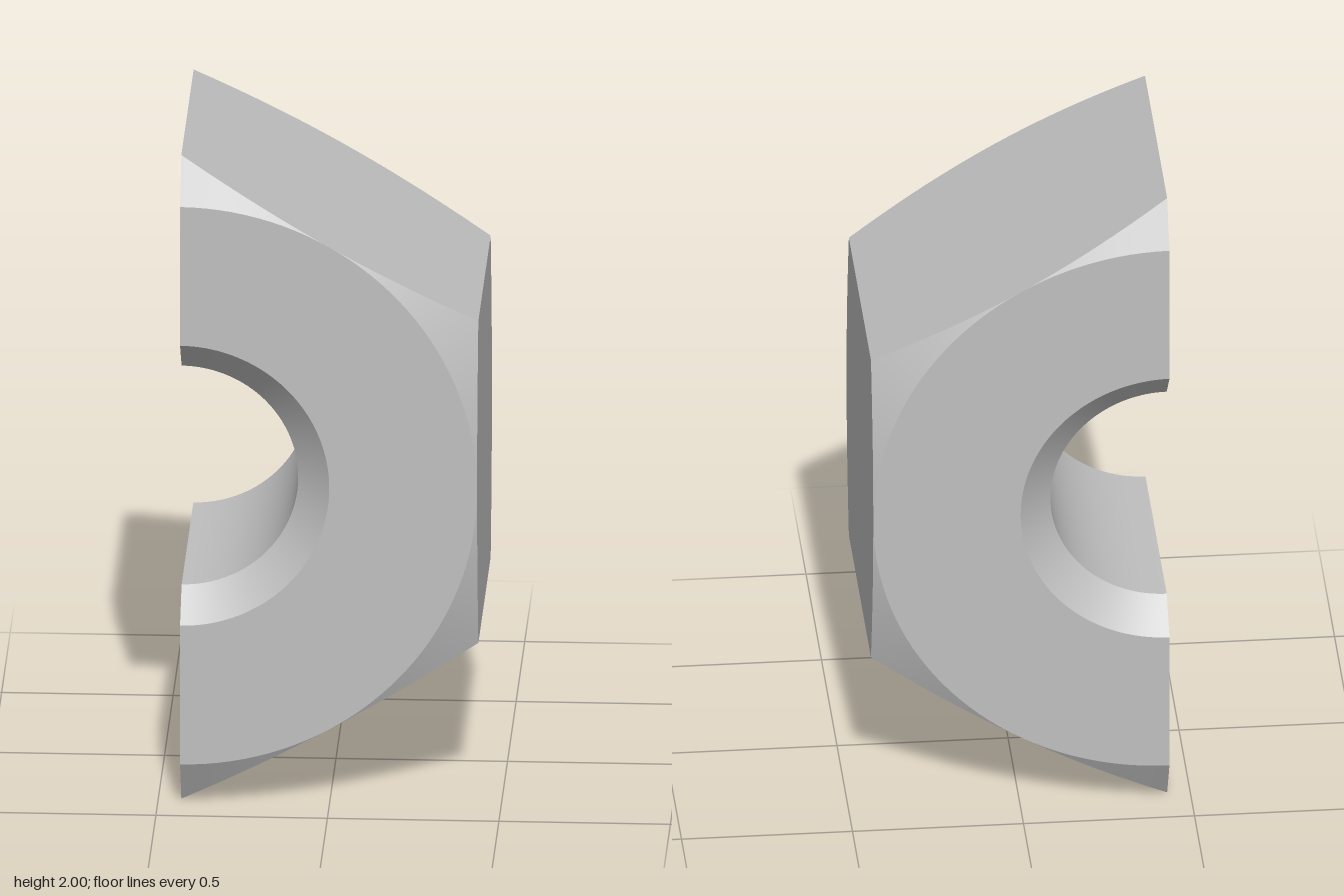
import * as THREE from 'three';

const APOTHEM = 0.866;       // centre to flat
const HALF = 0.432;          // half thickness
const BORE = 0.34;
const MOUTH = 0.435;         // countersink radius at the faces
const SINK = 0.09;           // countersink depth
const SLOPE = 0.56;          // drop of the outer chamfer cone per unit radius
const STEPS = 24;            // divisions per hexagon side

// Distance from the axis to the hexagon outline at an angle (corners at 30 + 60k degrees)
function hexRadius(angle) {
  const side = Math.PI / 3;
  const offset = angle - Math.round(angle / side) * side;
  return APOTHEM / Math.cos(offset);
}

// Corner where the chamfer cone meets the hexagon wall; sign picks front or back
function rim(angle, sign) {
  const r = hexRadius(angle);
  return [r, sign * (HALF - (r - APOTHEM) * SLOPE)];
}

// Surface swept between two profile points [radius, z] over an angle range
function sweep(from, to, startDeg, endDeg, steps) {
  const positions = [];
  const index = [];
  for (let i = 0; i <= steps; i++) {
    const angle = THREE.MathUtils.degToRad(startDeg + (endDeg - startDeg) * i / steps);
    for (const point of [from, to]) {
      const [r, z] = point(angle);
      positions.push(-APOTHEM / 2 + r * Math.cos(angle), 1 + r * Math.sin(angle), z);
    }
    if (i < steps) {
      const a = 2 * i;
      index.push(a, a + 1, a + 2, a + 1, a + 3, a + 2);
    }
  }
  const geometry = new THREE.BufferGeometry();
  geometry.setAttribute('position', new THREE.Float32BufferAttribute(positions, 3));
  geometry.setIndex(index);
  geometry.computeVertexNormals();
  return geometry;
}

export function createModel() {
  const group = new THREE.Group();
  group.name = 'halfHexNut';
  const steel = new THREE.MeshStandardMaterial({ color: 0xbfbfbf, side: THREE.DoubleSide });
  steel.name = 'steel grey';

  const add = (name, from, to, start = -90, end = 90, steps = 3 * STEPS) => {
    const mesh = new THREE.Mesh(sweep(from, to, start, end, steps), steel);
    mesh.name = name;
    group.add(mesh);
  };
  const at = (r, z) => () => [r, z];

  // Half bore, open along the cut plane
  add('bore', at(BORE, -HALF + SINK), at(BORE, HALF - SINK));

  // Front and back: countersink, flat face and outer chamfer
  for (const [label, s] of [['front', 1], ['back', -1]]) {
    const bands = [
      ['Countersink', at(BORE, s * (HALF - SINK)), at(MOUTH, s * HALF)],
      ['Face', at(MOUTH, s * HALF), at(APOTHEM, s * HALF)],
      ['Chamfer', at(APOTHEM, s * HALF), (angle) => rim(angle, s)],
    ];
    for (const [name, inner, outer] of bands) {
      if (s > 0) add(label + name, inner, outer);
      else add(label + name, outer, inner);
    }
  }

  // Three flat wrench sides with curved chamfer edges
  ['lowerSide', 'middleSide', 'upperSide'].forEach((name, i) => {
    const start = -90 + 60 * i;
    add(name, (angle) => rim(angle, 1), (angle) => rim(angle, -1), start, start + 60, STEPS);
  });

  return group;
}
